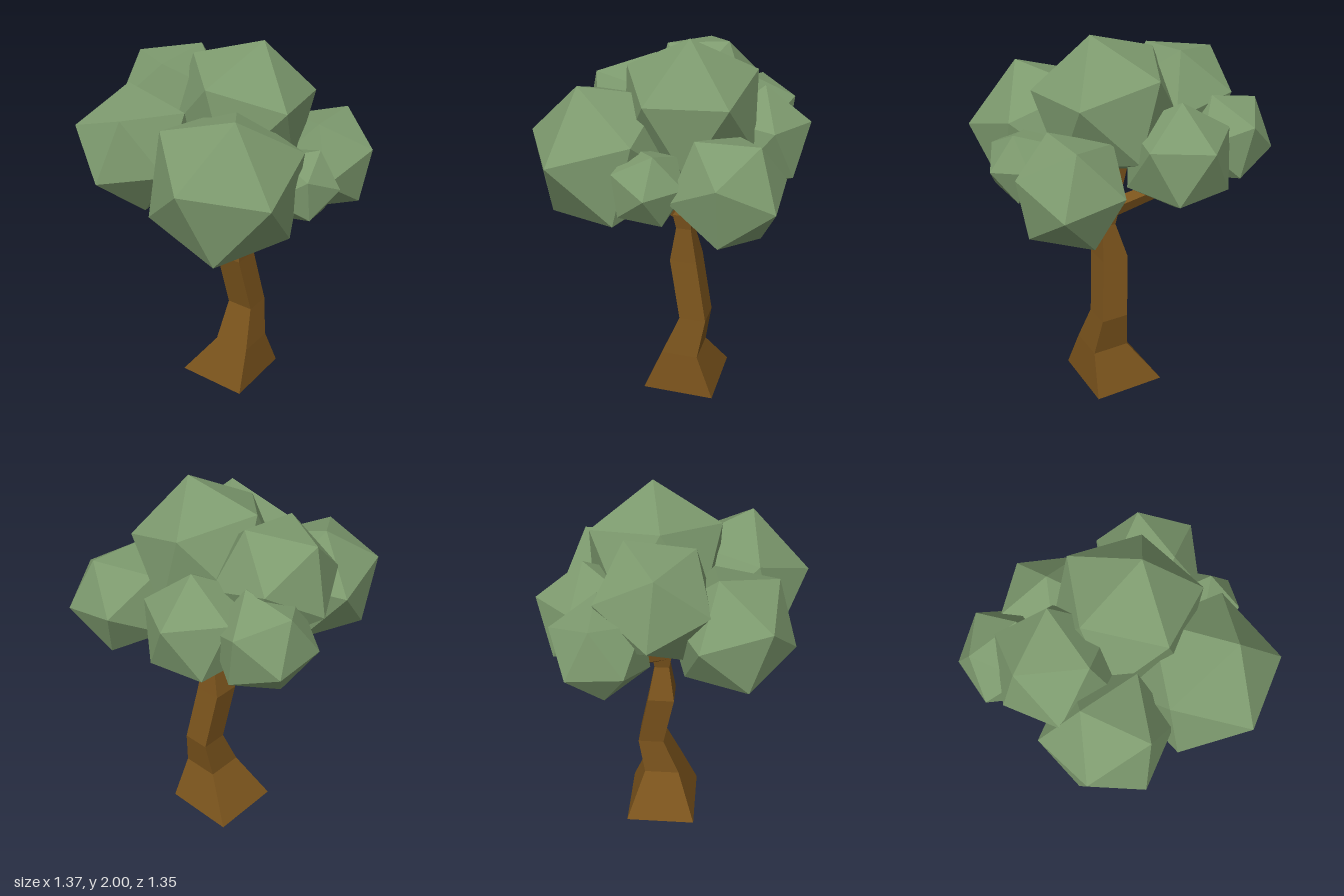
import * as THREE from 'three';

const leafMaterial = new THREE.MeshStandardMaterial({ color: 0x7d9a6e, flatShading: true });
const barkMaterial = new THREE.MeshStandardMaterial({ color: 0x7a531c, flatShading: true });

const vec = (p) => new THREE.Vector3(...p);

// Orthonormal frame whose first axis is a and whose second leans towards b
function frame(a, b) {
  const u = a.clone().normalize();
  const w = u.clone().cross(b).normalize();
  return new THREE.Matrix4().makeBasis(u, w.clone().cross(u), w);
}

// Icosahedron turned so that two neighbouring corners point at corners p and q
function leafClump(name, center, radius, p, q) {
  const t = (1 + Math.sqrt(5)) / 2;
  const from = frame(vec([-1, t, 0]), vec([1, t, 0]));
  const c = vec(center);
  const to = frame(vec(p).sub(c), vec(q).sub(c));
  const geometry = new THREE.IcosahedronGeometry(radius, 0);
  geometry.applyMatrix4(to.multiply(from.transpose()));
  const mesh = new THREE.Mesh(geometry, leafMaterial);
  mesh.position.copy(c);
  mesh.name = name;
  return mesh;
}

// Four-sided trunk lofted through rectangles [y, x0, x1, z0, z1]
function trunk(sections) {
  const points = [];
  const index = [];
  for (const [y, x0, x1, z0, z1] of sections) {
    points.push(x0, y, z1, x1, y, z1, x1, y, z0, x0, y, z0);
  }
  for (let s = 0; s < sections.length - 1; s++) {
    for (let i = 0; i < 4; i++) {
      const a = s * 4 + i;
      const b = s * 4 + ((i + 1) % 4);
      index.push(a, b, b + 4, a, b + 4, a + 4);
    }
  }
  const top = (sections.length - 1) * 4;
  index.push(0, 2, 1, 0, 3, 2, top, top + 1, top + 2, top, top + 2, top + 3);
  let geometry = new THREE.BufferGeometry();
  geometry.setAttribute('position', new THREE.Float32BufferAttribute(points, 3));
  geometry.setIndex(index);
  geometry = geometry.toNonIndexed();
  geometry.computeVertexNormals();
  const mesh = new THREE.Mesh(geometry, barkMaterial);
  mesh.name = 'trunk';
  return mesh;
}

// Tapered four-sided branch between two points
function branch(name, start, end, r0, r1) {
  const a = vec(start);
  const dir = vec(end).sub(a);
  const geometry = new THREE.CylinderGeometry(r1, r0, dir.length(), 4);
  geometry.rotateY(Math.PI / 4);
  const mesh = new THREE.Mesh(geometry, barkMaterial);
  mesh.position.copy(a).addScaledVector(dir, 0.5);
  mesh.quaternion.setFromUnitVectors(new THREE.Vector3(0, 1, 0), dir.normalize());
  mesh.name = name;
  return mesh;
}

export function createModel() {
  const tree = new THREE.Group();
  tree.name = 'tree';

  // Crooked trunk with a flared foot
  tree.add(trunk([
    [0, -0.17, 0.23, -0.285, 0.11],
    [0.24, 0.0, 0.205, -0.19, 0.01],
    [0.46, 0.02, 0.17, -0.225, -0.08],
    [0.79, -0.015, 0.13, -0.16, -0.015],
    [0.98, 0.04, 0.115, -0.125, -0.045],
    [1.06, 0.025, 0.125, -0.135, -0.03],
    [1.1, 0.05, 0.105, -0.105, -0.055],
  ]));

  // Branches spreading from the fork
  const fork = [0.07, 1.05, -0.08];
  tree.add(
    branch('backBranch', fork, [-0.45, 1.32, -0.36], 0.05, 0.025),
    branch('frontBranch', fork, [0.17, 1.27, 0.24], 0.05, 0.03),
    branch('upperBranch', fork, [-0.03, 1.45, -0.12], 0.055, 0.035),
  );

  // Leaf clumps: name, centre, radius, two neighbouring corners
  const clumps = [
    ['frontLeftLeaves', [0.245, 1.41, 0.28], 0.403, [0.25, 1.51, 0.68], [0.36, 1.79, 0.38]],
    ['topLeaves', [0.08, 1.635, -0.11], 0.38, [0.18, 2.0, -0.13], [0.35, 1.724, -0.36]],
    ['frontRightLeaves', [-0.3, 1.47, 0.28], 0.325, [-0.3, 1.38, 0.6], [-0.21, 1.7, 0.5]],
    ['upperRightLeaves', [-0.33, 1.62, -0.08], 0.315, [-0.55, 1.85, -0.06], [-0.26, 1.91, -0.23]],
    ['backRightLeaves', [-0.47, 1.45, -0.32], 0.255, [-0.65, 1.65, -0.34], [-0.39, 1.69, -0.34]],
    ['backLeaves', [-0.15, 1.43, -0.41], 0.287, [-0.14, 1.71, -0.44], [-0.18, 1.55, -0.69]],
    ['backLeftLeaves', [0.41, 1.36, -0.38], 0.292, [0.68, 1.47, -0.38], [0.44, 1.6, -0.53]],
    ['smallLeftLeaves', [0.485, 1.37, -0.01], 0.2, [0.68, 1.38, -0.05], [0.55, 1.56, -0.06]],
  ];
  for (const clump of clumps) tree.add(leafClump(...clump));

  return tree;
}
